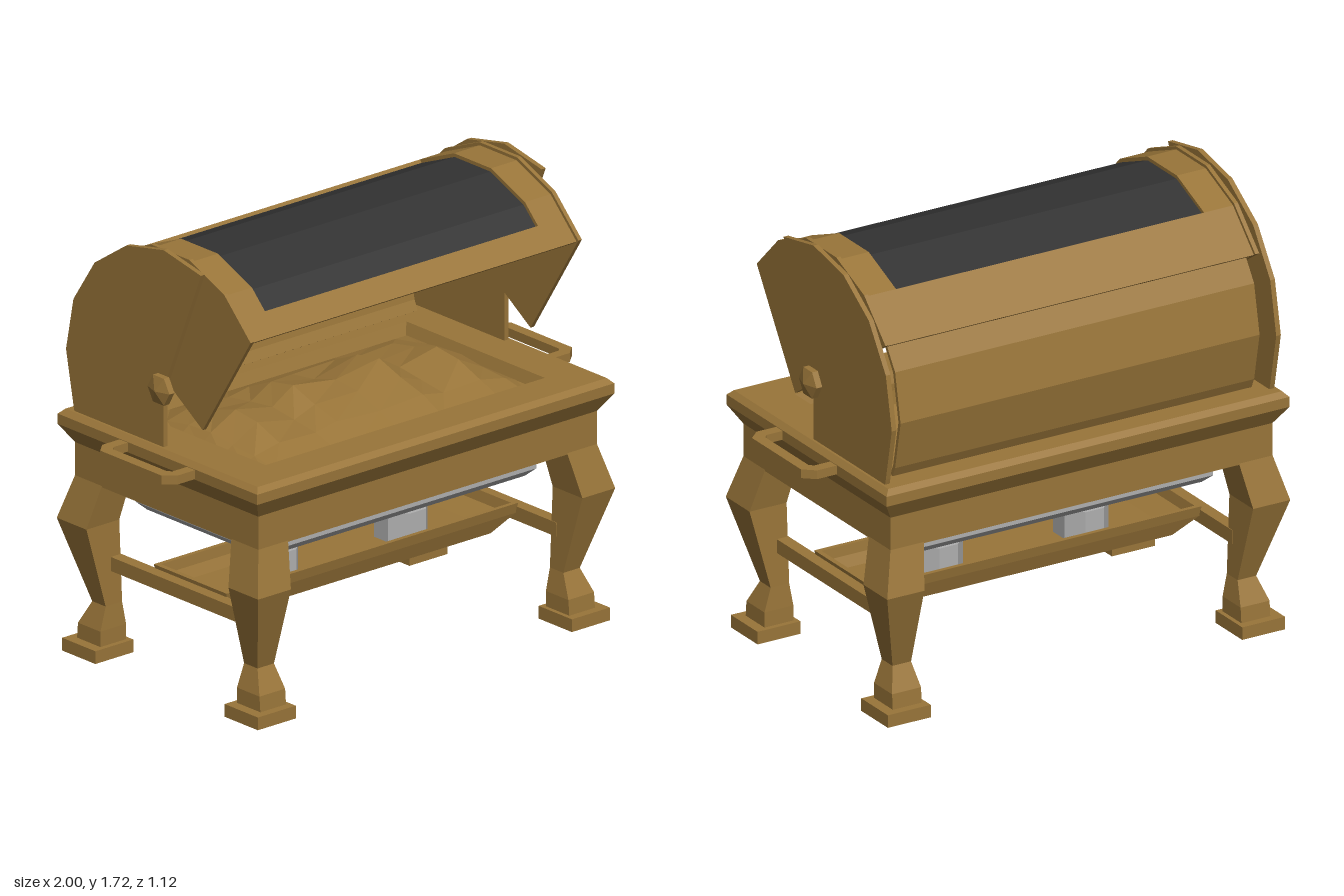
import * as THREE from 'three';

const brass = new THREE.MeshStandardMaterial({ color: 0x997539, flatShading: true, side: THREE.DoubleSide });
brass.name = 'brass';
const glass = new THREE.MeshStandardMaterial({ color: 0x323232, flatShading: true });
glass.name = 'smoked glass';
const steel = new THREE.MeshStandardMaterial({ color: 0xb0b0b0, flatShading: true });
steel.name = 'steel';

const PIVOT = 1.18;
const rad = THREE.MathUtils.degToRad;

function add(parent, name, geometry, material = brass) {
  const mesh = new THREE.Mesh(geometry, material);
  mesh.name = name;
  parent.add(mesh);
  return mesh;
}

// Closed skin through rectangles [y, x0, x1, z0, z1]
function loft(rings) {
  const pos = [], idx = [];
  for (const [y, x0, x1, z0, z1] of rings) pos.push(x1, y, z1, x1, y, z0, x0, y, z0, x0, y, z1);
  for (let r = 0; r < rings.length - 1; r++) {
    for (let i = 0; i < 4; i++) {
      const a = r * 4 + i, b = r * 4 + (i + 1) % 4;
      idx.push(a, b, b + 4, a, b + 4, a + 4);
    }
  }
  const t = (rings.length - 1) * 4;
  idx.push(0, 2, 1, 0, 3, 2, t, t + 1, t + 2, t, t + 2, t + 3);
  const g = new THREE.BufferGeometry();
  g.setAttribute('position', new THREE.Float32BufferAttribute(pos, 3));
  g.setIndex(idx);
  const flat = g.toNonIndexed();
  flat.computeVertexNormals();
  return flat;
}
const centred = rings => loft(rings.map(([y, hx, hz]) => [y, -hx, hx, -hz, hz]));

// Extrude a (z, y) outline along x from x0 to x1
function alongX(points, x0, x1) {
  const shape = new THREE.Shape(points.map(p => new THREE.Vector2(p[0], p[1])));
  const g = new THREE.ExtrudeGeometry(shape, { depth: x1 - x0, bevelEnabled: false });
  return g.rotateY(-Math.PI / 2).translate(x1, 0, 0);
}

// Point around the hinge; angle 0 is the front, 90 the top. Scale shrinks points lying on a chord.
const polar = (r, angle, scale = 1) =>
  [r * scale * Math.cos(rad(angle)), PIVOT + r * scale * Math.sin(rad(angle))];

// Curved panel between two radii
function panel(angles, rIn, rOut, x0, x1) {
  const at = r => angles.map(a => Array.isArray(a) ? polar(r, a[0], a[1]) : polar(r, a));
  return alongX([...at(rOut), ...at(rIn).reverse()], x0, x1);
}

export function createModel() {
  const model = new THREE.Group();
  model.name = 'chafingDish';

  // Body with flared rim and sunken opening
  add(model, 'body', centred([
    [0.685, 0.825, 0.51], [0.82, 0.825, 0.51], [0.89, 0.87, 0.555], [0.93, 0.87, 0.555],
    [0.95, 0.85, 0.535], [0.95, 0.68, 0.385], [0.9, 0.66, 0.365]]));

  // Water pan under the body
  add(model, 'waterPan', centred([[0.56, 0.635, 0.325], [0.59, 0.665, 0.355], [0.69, 0.665, 0.355]]), steel);

  // Food heap: ridge profile along x, rounded off towards front and back
  const ridge = [[0, 1.005], [0.21, 1.035], [0.31, 0.975], [0.49, 1.01], [0.61, 0.95], [0.665, 0.905]];
  const food = new THREE.PlaneGeometry(2, 0.73, 10, 6).rotateX(-Math.PI / 2);
  const p = food.attributes.position;
  for (let i = 0; i < p.count; i++) {
    const k = Math.round(Math.abs(p.getX(i)) * 5), z = p.getZ(i);
    const row = Math.round(z / 0.73 * 6);
    const wave = row === 0 ? 1 : 0.87 + 0.13 * Math.sin(k * 2.3 + row * 1.7);
    const fall = 1 - (z / 0.365) ** 2;
    p.setXYZ(i, Math.sign(p.getX(i)) * ridge[k][0], 0.905 + (ridge[k][1] - 0.905) * fall * wave, z);
  }
  food.computeVertexNormals();
  add(model, 'food', food);

  // Fixed rear hood
  add(model, 'rearHood', panel([90, 112.5, 135, 157.5, 180, 202.5, 207.5], 0.485, 0.5, -0.775, 0.775));
  const sidePlate = [[0, 0.945], [0, PIVOT],
    ...[67.5, 90, 112.5, 135, 157.5, 180, 202.5].map(a => polar(0.543, a)), [-0.495, 0.945]];

  // Roll-top lid, swung open
  const lid = new THREE.Group();
  lid.name = 'lid';
  model.add(lid);
  const lidAngles = [33.75, 56.25, 78.75, 101.25, 123.75, 146.25];
  const chord = Math.cos(rad(11.25));
  const mid = [45, chord];
  const W = 0.665;
  add(lid, 'lidFrontBorder', panel([33.75, mid], 0.505, 0.525, -W, W));
  add(lid, 'lidRearBorder', panel([123.75, 146.25], 0.505, 0.525, -W, W));
  add(lid, 'lidWindow', panel([mid, 56.25, 78.75, 101.25, 123.75], 0.502, 0.511, -W, W), glass);
  const lidCheek = [...lidAngles.map(a => polar(0.537, a)), [0, PIVOT], [0.18, 1.06]];

  for (const s of [1, -1]) {
    const range = (a, b) => s > 0 ? [a, b] : [-b, -a];
    add(model, 'hoodSidePlate', alongX(sidePlate, ...range(0.82, 0.84)));
    add(lid, 'lidSideBorder', panel(lidAngles, 0.505, 0.525, ...range(W, 0.79)));
    add(lid, 'lidSidePlate', alongX(lidCheek, ...range(0.79, 0.807)));

    // Hexagonal hinge knob
    const knob = add(model, 'hingeKnob', new THREE.LatheGeometry(
      [[0, 0], [0.061, 0], [0.061, 0.025], [0, 0.045]].map(q => new THREE.Vector2(...q)), 6));
    knob.geometry.rotateY(Math.PI / 2).rotateZ(-s * Math.PI / 2);
    knob.geometry.rotateX(Math.PI / 6);
    knob.position.set(s * 0.84, PIVOT, 0);

    // Carrying handle
    const handle = new THREE.Shape([[0.84, -0.21], [0.955, -0.21], [1, -0.17], [1, 0.17], [0.955, 0.21],
      [0.84, 0.21], [0.84, 0.165], [0.94, 0.165], [0.955, 0.15], [0.955, -0.15], [0.94, -0.165], [0.84, -0.165]]
      .map(q => new THREE.Vector2(...q)));
    const handleGeo = new THREE.ExtrudeGeometry(handle, { depth: 0.035, bevelEnabled: false });
    handleGeo.rotateX(-Math.PI / 2).translate(0, 0.893, 0);
    if (s < 0) handleGeo.rotateY(Math.PI);
    add(model, 'handle', handleGeo);

    // Stretcher between front and rear legs
    add(model, 'stretcher', new THREE.BoxGeometry(0.05, 0.055, 0.84)).position.set(s * 0.73, 0.358, 0);

    // Fuel burner
    add(model, 'burner', new THREE.CylinderGeometry(0.103, 0.103, 0.115, 8).rotateY(Math.PI / 8), steel)
      .position.set(s * 0.315, 0.378, 0);

    // Curved legs on square feet
    for (const t of [1, -1]) {
      const rings = [
        [0.05, 0.69, 0.815, 0.38, 0.51], [0.11, 0.69, 0.815, 0.38, 0.505], [0.2, 0.705, 0.785, 0.385, 0.46],
        [0.52, 0.71, 0.87, 0.395, 0.56], [0.69, 0.68, 0.825, 0.36, 0.51]];
      add(model, 'leg', loft(rings.map(([y, x0, x1, z0, z1]) => [y, ...range(x0, x1),
        ...(t > 0 ? [z0, z1] : [-z1, -z0])])));
      add(model, 'foot', new THREE.BoxGeometry(0.185, 0.05, 0.185)).position.set(s * 0.765, 0.025, t * 0.452);
    }
  }

  // Burner tray, hollow on top
  add(model, 'burnerTray', centred([
    [0.3, 0.6, 0.175], [0.36, 0.705, 0.195], [0.4, 0.71, 0.203], [0.4, 0.69, 0.185], [0.36, 0.68, 0.18],
    [0.32, 0.6, 0.16]]));

  return model;
}
